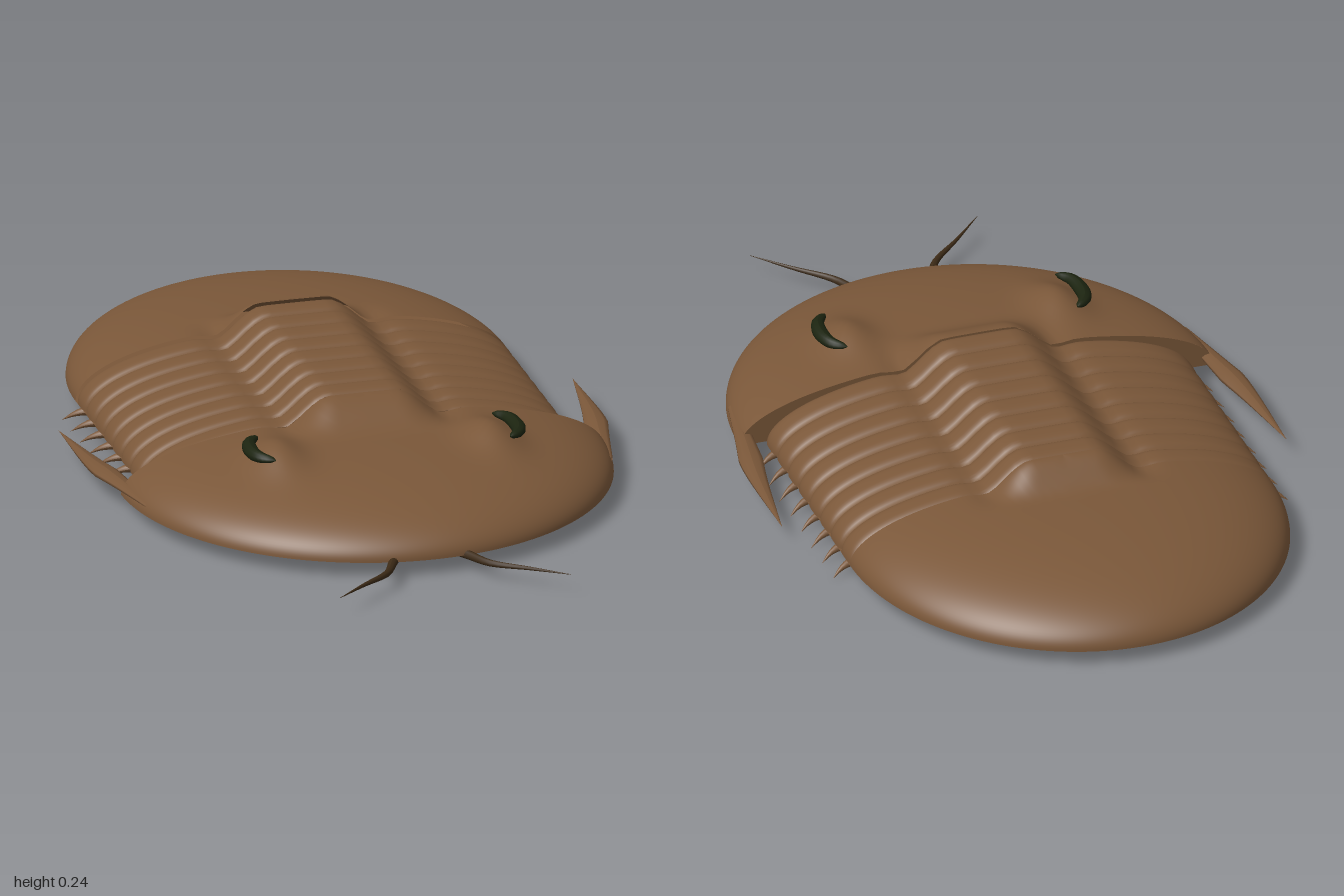
import * as THREE from 'three';

const BASE = 0.04, FRONT = 0.19, REAR = -0.42, SEGMENTS = 8;
const PITCH = (FRONT - REAR) / SEGMENTS;
const smooth = THREE.MathUtils.smoothstep;

// Raised middle lobe with a shallow furrow on each side
const lobe = x => 0.055 * (1 - smooth(Math.abs(x), 0.08, 0.19)) - 0.01 * Math.exp(-(((Math.abs(x) - 0.19) / 0.035) ** 2));
const dome = (r, h) => BASE + h * Math.sqrt(Math.max(0, 1 - r ** 2.5));
const eyeMound = (x, z) => 0.036 * Math.exp(-(((Math.abs(x) - 0.26) / 0.06) ** 2) - ((z - 0.375) / 0.1) ** 2);

const headHeight = (r, x, z) => dome(r, 0.14) + (1 - smooth(z, FRONT, 0.34)) * lobe(x) + eyeMound(x, z);
const tailHeight = (r, x, z) => dome(r, 0.145) + smooth(z, -0.52, REAR) * lobe(x);

// Smooth surface through f(u, v) => [x, y, z]
function grid(f, nu, nv) {
  const pos = [], index = [];
  for (let i = 0; i <= nu; i++) for (let j = 0; j <= nv; j++) {
    pos.push(...f(i / nu, j / nv));
    if (i < nu && j < nv) {
      const a = i * (nv + 1) + j, c = a + nv + 1;
      index.push(a, a + 1, c, a + 1, c + 1, c);
    }
  }
  const g = new THREE.BufferGeometry();
  g.setAttribute('position', new THREE.Float32BufferAttribute(pos, 3));
  g.setIndex(index);
  g.computeVertexNormals();
  return g;
}

// Half-oval dome opening forward (dir 1) or backward (dir -1)
function halfDome(a, b, z0, dir, height) {
  return grid((u, v) => {
    const r = Math.sin(u * Math.PI / 2), t = v * Math.PI;
    const x = dir * a * r * Math.cos(t), z = z0 + dir * b * r * Math.sin(t);
    return [x, u === 1 ? BASE : height(r, x, z), z];
  }, 44, 80);
}

// Tube along points whose radius follows a profile, flattened in height
function taper(points, radius, flat = 1, n = 16) {
  const curve = new THREE.CatmullRomCurve3(points.map(p => new THREE.Vector3(...p)));
  const g = new THREE.TubeGeometry(curve, n, 1, 10), p = g.attributes.position, v = new THREE.Vector3();
  for (let i = 0; i < p.count; i++) {
    const t = Math.floor(i / 11) / n, c = curve.getPointAt(t);
    v.fromBufferAttribute(p, i).sub(c).multiplyScalar(radius(t));
    v.y *= flat;
    v.add(c);
    p.setXYZ(i, v.x, v.y, v.z);
  }
  g.computeVertexNormals();
  return g;
}

export function createModel() {
  const model = new THREE.Group();
  const material = (name, color) => new THREE.MeshStandardMaterial({ name, color, side: THREE.DoubleSide });
  const shell = material('shell brown', 0x7a5739);
  const dark = material('antenna dark brown', 0x3d2b17);
  const eyeMat = material('eye dark green', 0x1c2410);
  const add = (name, geometry, mat = shell) => {
    const m = new THREE.Mesh(geometry, mat);
    m.name = name;
    model.add(m);
    return m;
  };

  // Head shield and its rear wall
  add('headShield', halfDome(0.585, 0.6, FRONT, 1, headHeight));
  const wall = [new THREE.Vector2(-0.585, BASE)];
  for (let i = 1; i < 60; i++) {
    const s = -Math.cos(i / 60 * Math.PI), x = 0.585 * s;
    wall.push(new THREE.Vector2(x, headHeight(Math.abs(s), x, FRONT)));
  }
  wall.push(new THREE.Vector2(0.585, BASE));
  add('headRearWall', new THREE.ShapeGeometry(new THREE.Shape(wall)).rotateY(Math.PI).translate(0, 0, FRONT));

  // Ribbed thorax
  add('thorax', grid((u, v) => {
    const s = -Math.cos(u * Math.PI), k = v * SEGMENTS % 1;
    const groove = Math.abs(2 * k - 1) ** 4;
    const x = s * (0.525 - 0.008 * groove), r = Math.abs(s);
    const y = dome(r, 0.145) + lobe(x) - 0.013 * groove * Math.sqrt(1 - Math.min(1, r) ** 4);
    return [x, y, REAR + v * (FRONT - REAR)];
  }, 72, SEGMENTS * 10));

  // Tail shield
  add('tailShield', halfDome(0.525, 0.58, REAR, -1, tailHeight));

  // Flat underside following the whole outline
  const outline = [];
  for (let i = 0; i <= 60; i++) {
    const t = i / 60 * Math.PI;
    outline.push(new THREE.Vector2(0.585 * Math.cos(t), FRONT + 0.6 * Math.sin(t)));
  }
  for (let i = 0; i <= 60; i++) {
    const t = i / 60 * Math.PI;
    if (i === 0) outline.push(new THREE.Vector2(-0.52, FRONT));
    outline.push(new THREE.Vector2(-0.525 * Math.cos(t), REAR - 0.58 * Math.sin(t)));
  }
  outline.push(new THREE.Vector2(0.52, FRONT));
  add('underside', new THREE.ShapeGeometry(new THREE.Shape(outline)).rotateX(Math.PI / 2).translate(0, BASE, 0));

  for (const [side, s] of [['left', 1], ['right', -1]]) {
    // Crescent eyes
    add(side + 'Eye', taper([[0.285, 0.193, 0.295], [0.312, 0.192, 0.325], [0.321, 0.19, 0.375], [0.312, 0.192, 0.425], [0.285, 0.193, 0.455]]
      .map(([x, y, z]) => [s * x, y, z]), t => 0.002 + 0.016 * Math.sqrt(Math.sin(Math.PI * t) + 1e-6), 0.85, 20), eyeMat);

    // Cheek spines sweeping backward
    add(side + 'CheekSpine', taper([[0.555, 0.062, 0.33], [0.578, 0.06, 0.18], [0.602, 0.056, 0.03], [0.623, 0.052, -0.22]]
      .map(([x, y, z]) => [s * x, y, z]), t => t < 0.45 ? 0.012 + 0.04 * t : 0.03 * (1 - t) / 0.55, 0.45));

    // Antennae
    add(side + 'Antenna', taper([[0.07, 0.04, 0.74], [0.095, 0.04, 0.79], [0.125, 0.041, 0.85], [0.2, 0.046, 0.92], [0.28, 0.052, 1]]
      .map(([x, y, z]) => [s * x, y, z]), t => 0.012 * (1 - t) + 0.0005), dark);

    // Small pointed legs, one pair per segment
    for (let i = 0; i < SEGMENTS; i++) {
      const z = FRONT - (i + 0.5) * PITCH;
      add(side + 'Leg' + (i + 1), taper([[0.43, 0.024, z + 0.005], [0.5, 0.029, z], [0.535, 0.02, z - 0.01], [0.563, 0.002, z - 0.024]]
        .map(([x, y, zz]) => [s * x, y, zz]), t => t === 0 ? 0 : 0.013 * Math.min(1, (1 - t) / 0.5), 0.95, 12));
    }
  }
  return model;
}
